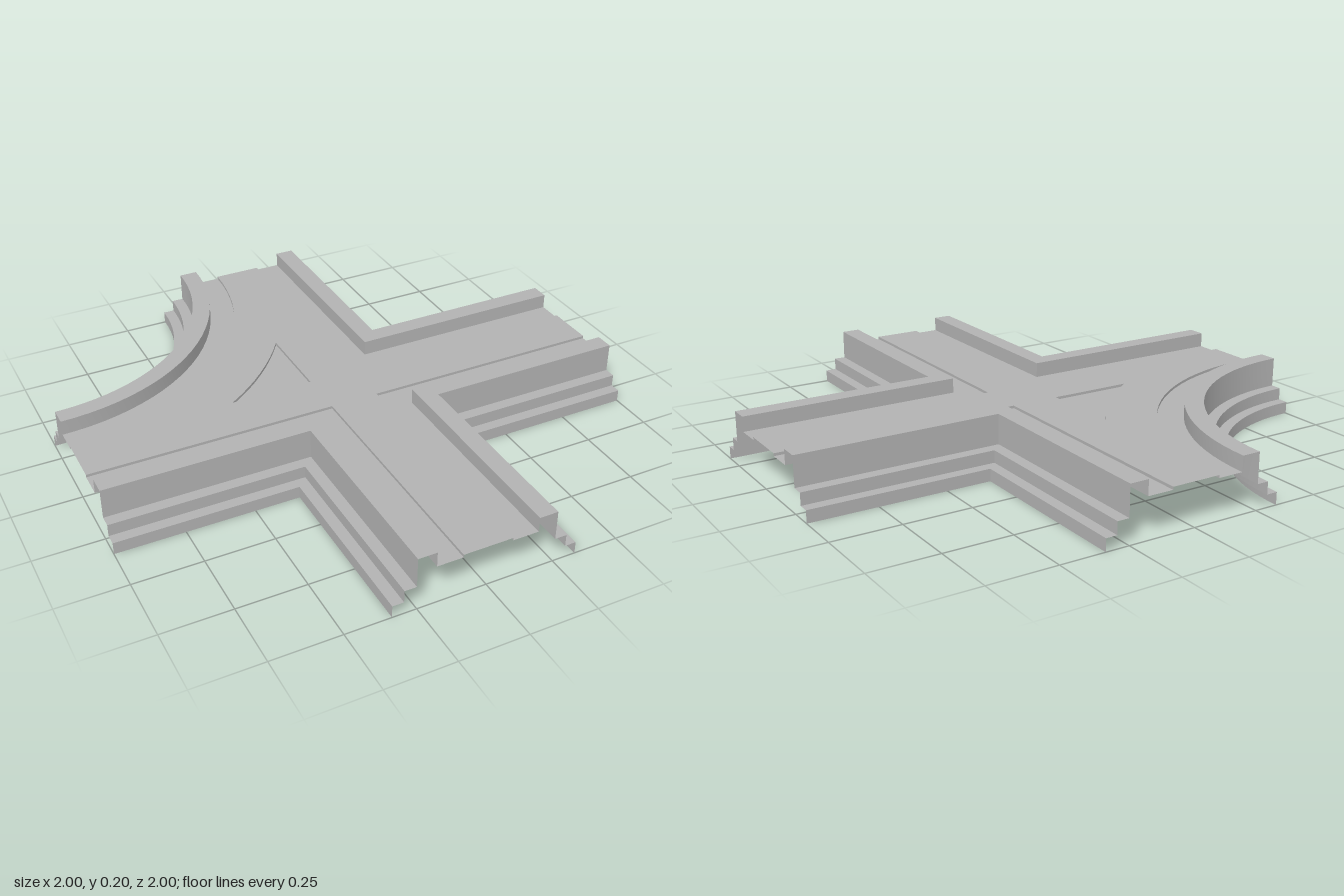
import * as THREE from 'three';

const LANE = 0.09, LANE_Y = 0.155, GUTTER_Y = 0.145, ARC_STEPS = 24;

// Profiles as [distance from arm centre line, height], outside to inside
const WALL = [[0.336, 0], [0.336, 0.045], [0.295, 0.045], [0.295, 0.09], [0.252, 0.09],
  [0.252, 0.2], [0.184, 0.2], [0.184, GUTTER_Y]];
const GUTTER = [[0.184, GUTTER_Y], [LANE, GUTTER_Y], [LANE, LANE_Y]];

// Paths giving [x, z] points at distance d from the centre lines
const cornerPath = (sx, sz) => (d) => {
  const p = [[sx, sz * d], [sx * d, sz * d], [sx * d, sz]];
  return sx * sz < 0 ? p.reverse() : p;
};
const arcPath = (d) => Array.from({ length: ARC_STEPS + 1 }, (_, i) => {
  const a = (Math.PI / 2) * (1 - i / ARC_STEPS);
  return [-1 + (1 - d) * Math.cos(a), -1 + (1 - d) * Math.sin(a)];
});

// Sweep a profile along a path; each profile band keeps crisp edges
function sweep(profile, path, smooth) {
  const pos = [], index = [];
  for (let i = 0; i < profile.length - 1; i++) {
    const [[d0, y0], [d1, y1]] = [profile[i], profile[i + 1]];
    const lower = path(d0), upper = path(d1), base = pos.length / 3;
    lower.forEach(([x, z], j) => {
      pos.push(x, y0, z, upper[j][0], y1, upper[j][1]);
      if (j === 0) return;
      const a = base + 2 * (j - 1);
      index.push(a, a + 1, a + 3, a, a + 3, a + 2);
    });
  }
  let g = new THREE.BufferGeometry();
  g.setAttribute('position', new THREE.Float32BufferAttribute(pos, 3));
  g.setIndex(index);
  if (!smooth) g = g.toNonIndexed();
  g.computeVertexNormals();
  return g;
}

// Flat upward-facing plate from [x, z] outlines
function plate(outline, y, hole) {
  const toV = ([x, z]) => new THREE.Vector2(x, -z);
  const shape = new THREE.Shape(outline.map(toV));
  if (hole) shape.holes.push(new THREE.Path(hole.map(toV)));
  return new THREE.ShapeGeometry(shape).rotateX(-Math.PI / 2).translate(0, y, 0);
}

export function createModel() {
  const group = new THREE.Group();
  const stone = new THREE.MeshStandardMaterial({ color: 0xb2b2b2, side: THREE.DoubleSide });
  stone.name = 'stoneGrey';
  const add = (name, geometry) => {
    const mesh = new THREE.Mesh(geometry, stone);
    mesh.name = name;
    group.add(mesh);
  };

  // Three square corners and one curved corner
  const corners = [
    ['frontLeft', cornerPath(1, 1), false],
    ['frontRight', cornerPath(-1, 1), false],
    ['backLeft', cornerPath(1, -1), false],
    ['backRightCurved', arcPath, true],
  ];
  for (const [name, path, smooth] of corners) {
    add(name + 'SteppedWall', sweep(WALL, path, smooth));
    add(name + 'Gutter', sweep(GUTTER, path, smooth));
  }

  // Sunken triangular island between the straight lanes and the curved lane
  const r = 1 + LANE, a0 = Math.acos((1 - LANE) / r), a1 = Math.PI / 2 - a0;
  const island = [[-LANE, -LANE]];
  for (let i = 0; i <= 8; i++) {
    const a = a0 + ((a1 - a0) * i) / 8;
    island.push([-1 + r * Math.cos(a), -1 + r * Math.sin(a)]);
  }
  add('islandFloor', plate(island, GUTTER_Y));
  add('islandEdge', sweep([[0, GUTTER_Y], [0, LANE_Y]], () => [...island, island[0]], false));

  // Crossing lanes, with the curved lane joining the back and right arms
  const L = LANE;
  const outline = [[1, L], [L, L], [L, 1], [-L, 1], [-L, L], [-1, L],
    ...arcPath(L), [L, -1], [L, -L], [1, -L]];
  // The arc runs from the right arm to the back arm
  add('laneFloor', plate(outline, LANE_Y, island));

  return group;
}
